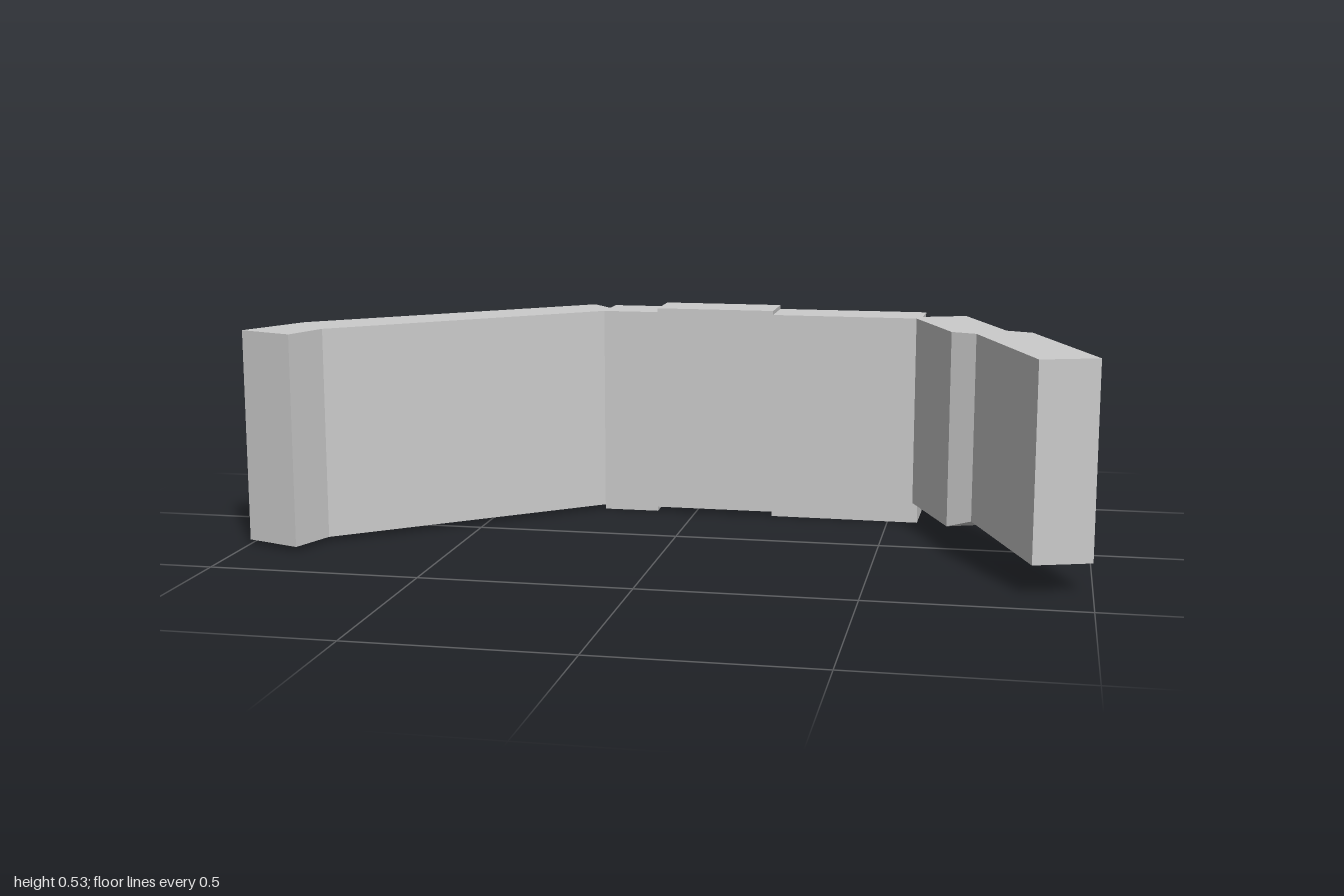
import * as THREE from 'three';

const material = new THREE.MeshStandardMaterial({ color: 0xcccccc, flatShading: true });

// Wall run through cross-sections [outerX, outerZ, innerX, innerZ, bottom, top]
function wall(name, sections) {
  const rings = sections.map(([ox, oz, ix, iz, y0, y1]) => [
    [ox, y0, oz], [ix, y0, iz], [ix, y1, iz], [ox, y1, oz],
  ]);
  const pos = [];
  const quad = (a, b, c, d) => pos.push(...a, ...b, ...c, ...a, ...c, ...d);
  quad(...rings[0]);
  for (let s = 0; s < rings.length - 1; s++) {
    for (let k = 0; k < 4; k++) {
      const n = (k + 1) % 4;
      quad(rings[s][k], rings[s + 1][k], rings[s + 1][n], rings[s][n]);
    }
  }
  quad(...[...rings[rings.length - 1]].reverse());
  const geometry = new THREE.BufferGeometry();
  geometry.setAttribute('position', new THREE.Float32BufferAttribute(pos, 3));
  geometry.computeVertexNormals();
  const mesh = new THREE.Mesh(geometry, material);
  mesh.name = name;
  return mesh;
}

export function createModel() {
  const group = new THREE.Group();
  group.name = 'angledWall';

  // Long wing with a bent tip
  group.add(wall('rightWing', [
    [-1, 0.272, -0.862, 0.324, 0.013, 0.525],
    [-0.912, 0.1, -0.822, 0.212, 0.013, 0.525],
    [-0.297, -0.408, -0.207, -0.297, 0.013, 0.525],
  ]));

  // Straight back wall: three panels at stepped heights
  group.add(wall('backPanelRight', [
    [-0.24, -0.4, -0.24, -0.268, 0.002, 0.525],
    [-0.1, -0.4, -0.1, -0.268, 0.002, 0.525],
  ]));
  group.add(wall('backPanelMiddle', [
    [-0.1, -0.401, -0.1, -0.268, 0.013, 0.535],
    [0.2, -0.399, 0.2, -0.266, 0.013, 0.535],
  ]));
  group.add(wall('backPanelLeft', [
    [0.2, -0.399, 0.2, -0.265, 0.002, 0.525],
    [0.578, -0.395, 0.575, -0.26, 0.002, 0.525],
  ]));

  // Short wing with a jog where its underside steps up
  group.add(wall('leftWing', [
    [0.682, -0.338, 0.551, -0.288, 0.053, 0.525],
    [0.788, -0.067, 0.661, -0.018, 0.053, 0.525],
    [0.85, -0.04, 0.72, 0.006, 0.073, 0.525],
    [0.998, 0.358, 0.866, 0.402, 0.073, 0.525],
  ]));

  return group;
}
